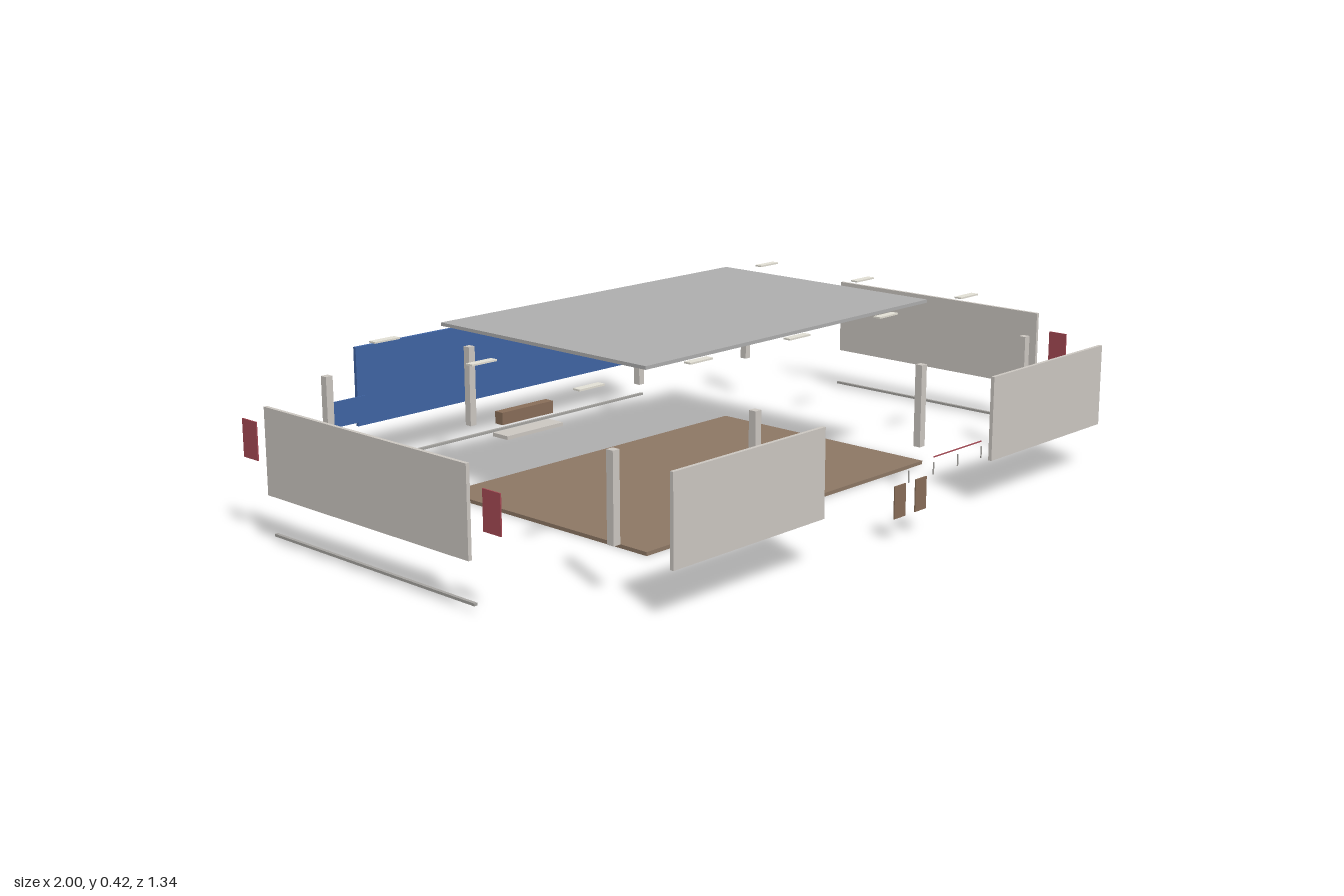
import * as THREE from 'three';

const mat = (color) => new THREE.MeshStandardMaterial({ color });

export function createModel() {
  const model = new THREE.Group();
  model.name = 'explodedPavilion';

  const wallMat = mat(0xcfcac4), blueMat = mat(0x4166a6), roofMat = mat(0xb0b0b0);
  const woodMat = mat(0x8f7966), deskMat = mat(0x8a6f5a), redMat = mat(0xa84a55);
  const railMat = mat(0xa8a6a2), lightMat = mat(0xe6e3d8);

  // Box given by its extents along each axis
  const box = (name, material, [x0, x1], [y0, y1], [z0, z1]) => {
    const mesh = new THREE.Mesh(new THREE.BoxGeometry(x1 - x0, y1 - y0, z1 - z0), material);
    mesh.position.set((x0 + x1) / 2, (y0 + y1) / 2, (z0 + z1) / 2);
    mesh.name = name;
    model.add(mesh);
    return mesh;
  };
  const around = (c, half) => [c - half, c + half];

  const W = 0.497, D = 0.332;
  const wallY = [0.112, 0.312], railY = [0.015, 0.021];

  // Floor and roof slabs
  box('floor', woodMat, [-W, W], [0, 0.009], [-D, D]);
  box('roof', roofMat, [-W, W], [0.413, 0.421], [-D, D]);

  // Back wall, its base rail and the small sign beside it
  box('backWall', blueMat, [-W, W], wallY, [-0.668, -0.659]);
  box('backRail', railMat, [-W, W], railY, around(-0.651, 0.004));
  box('sign', blueMat, [-0.581, -0.481], [0.125, 0.19], around(-0.65, 0.0015));

  for (const s of [-1, 1]) {
    const side = s > 0 ? 'left' : 'right';
    // Side wall, base rail and end posters
    box(side + 'Wall', wallMat, around(s * 0.9955, 0.0045), wallY, [-D, D]);
    box(side + 'Rail', railMat, around(s * 0.984, 0.004), railY, [-D, D]);
    for (const z of [-0.398, 0.398])
      box(side + 'Poster', redMat, around(s * 0.993, 0.0015), [0.181, 0.269], around(z, 0.026));

    // Front wall half and door leaf
    box(side + 'FrontWall', wallMat, around(s * 0.537, 0.231), wallY, [0.659, 0.668]);
    box(side + 'Door', deskMat, around(s * 0.038, 0.02), [0.053, 0.128], around(0.664, 0.0015));

    // Columns
    for (const x of [0.298, 0.73])
      for (const z of [-0.466, 0.466])
        box('column', wallMat, around(s * x, 0.0095), wallY, around(z, 0.0095));
  }

  // Ceiling lights in a five by three grid
  for (let i = -2; i <= 2; i++)
    for (let j = -1; j <= 1; j++)
      box('ceilingLight', lightMat, around(i * 0.332, 0.036), [0.404, 0.408], around(j * 0.332, 0.01));

  // Counter above its plinth
  box('counter', deskMat, [-0.09, 0.09], [0.05, 0.083], [-0.612, -0.584]);
  box('counterPlinth', wallMat, [-0.099, 0.099], [0.017, 0.027], [-0.612, -0.556]);

  // Queue posts and the barrier tape
  const postGeo = new THREE.CylinderGeometry(0.0018, 0.0018, 0.03, 8);
  for (let i = 0; i < 5; i++) {
    const post = new THREE.Mesh(postGeo, railMat);
    post.position.set(0.263 + i * 0.0995, 0.043, 0.464);
    post.name = 'queuePost';
    model.add(post);
  }
  box('barrierTape', redMat, [0.362, 0.561], [0.07, 0.073], around(0.464, 0.001));

  return model;
}
